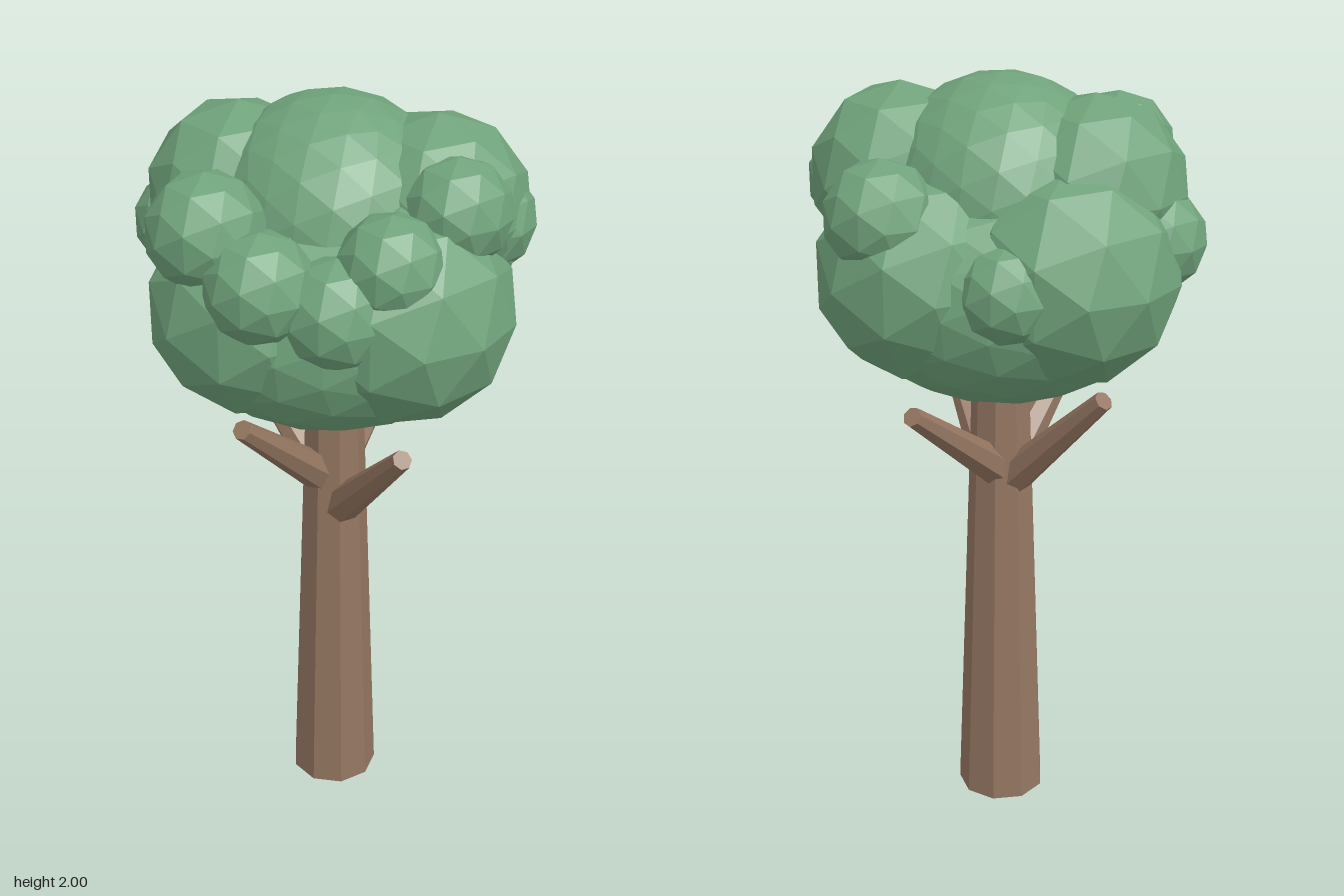
import * as THREE from 'three';

const bark = new THREE.MeshStandardMaterial({ color: 0x947661, flatShading: true });
const leaf = new THREE.MeshStandardMaterial({ color: 0x70a37b, flatShading: true });

// Tapered limb running from one point to another
function limb(name, from, to, r0, r1, sides) {
  const a = new THREE.Vector3(...from), b = new THREE.Vector3(...to);
  const dir = b.clone().sub(a);
  const mesh = new THREE.Mesh(new THREE.CylinderGeometry(r1, r0, dir.length(), sides), bark);
  mesh.position.copy(a).add(b).multiplyScalar(0.5);
  mesh.quaternion.setFromUnitVectors(new THREE.Vector3(0, 1, 0), dir.normalize());
  mesh.name = name;
  return mesh;
}

// Faceted ball of leaves
function clump(name, [x, y, z, r], detail) {
  const mesh = new THREE.Mesh(new THREE.IcosahedronGeometry(r, detail), leaf);
  mesh.position.set(x, y, z);
  mesh.name = name;
  return mesh;
}

export function createModel() {
  const tree = new THREE.Group();
  tree.name = 'tree';

  // Trunk, with a corner pointing to the back
  const trunk = limb('trunk', [0, 0, -0.005], [0, 1.25, -0.005], 0.117, 0.074, 9);
  trunk.rotation.y = Math.PI;
  tree.add(trunk);

  // Four bare branches
  const branches = [
    [[-0.04, 0.95, 0], [-0.34, 1.25, 0.04]],
    [[0.05, 0.905, 0.01], [0.35, 1.21, 0.08]],
    [[0, 1.0, 0.05], [0.07, 1.27, 0.345]],
    [[-0.02, 0.99, -0.05], [-0.1, 1.235, -0.36]],
  ];
  for (const [from, to] of branches) tree.add(limb('branch', from, to, 0.05, 0.025, 7));

  // Crown: a wide flattened base and a round top
  const crown = new THREE.Group();
  crown.name = 'crown';
  const base = clump('crownBase', [0, 1.51, 0, 0.43], 3);
  base.scale.y = 0.75;
  crown.add(base, clump('crownTop', [-0.01, 1.7, -0.01, 0.3], 3));

  // Large clumps around and above
  const large = [
    [0.25, 1.55, 0, 0.275],
    [-0.25, 1.56, 0, 0.275],
    [0, 1.54, 0.24, 0.26],
    [0, 1.55, -0.24, 0.27],
    [-0.2, 1.735, 0.12, 0.23],
    [0.18, 1.74, -0.17, 0.23],
  ];
  for (const c of large) crown.add(clump('largeClump', c, 1));

  // Small clumps on the outside
  const small = [
    [-0.02, 1.76, 0.36, 0.145],
    [-0.01, 1.71, -0.37, 0.14],
    [-0.345, 1.63, 0.185, 0.128],
    [0.14, 1.67, 0.335, 0.135],
    [0.26, 1.61, 0.21, 0.138],
    [0.32, 1.71, 0.1, 0.13],
    [0.32, 1.79, -0.1, 0.133],
    [0.27, 1.72, -0.23, 0.135],
    [-0.28, 1.56, -0.21, 0.125],
  ];
  for (const c of small) crown.add(clump('smallClump', c, 1));
  tree.add(crown);

  return tree;
}
